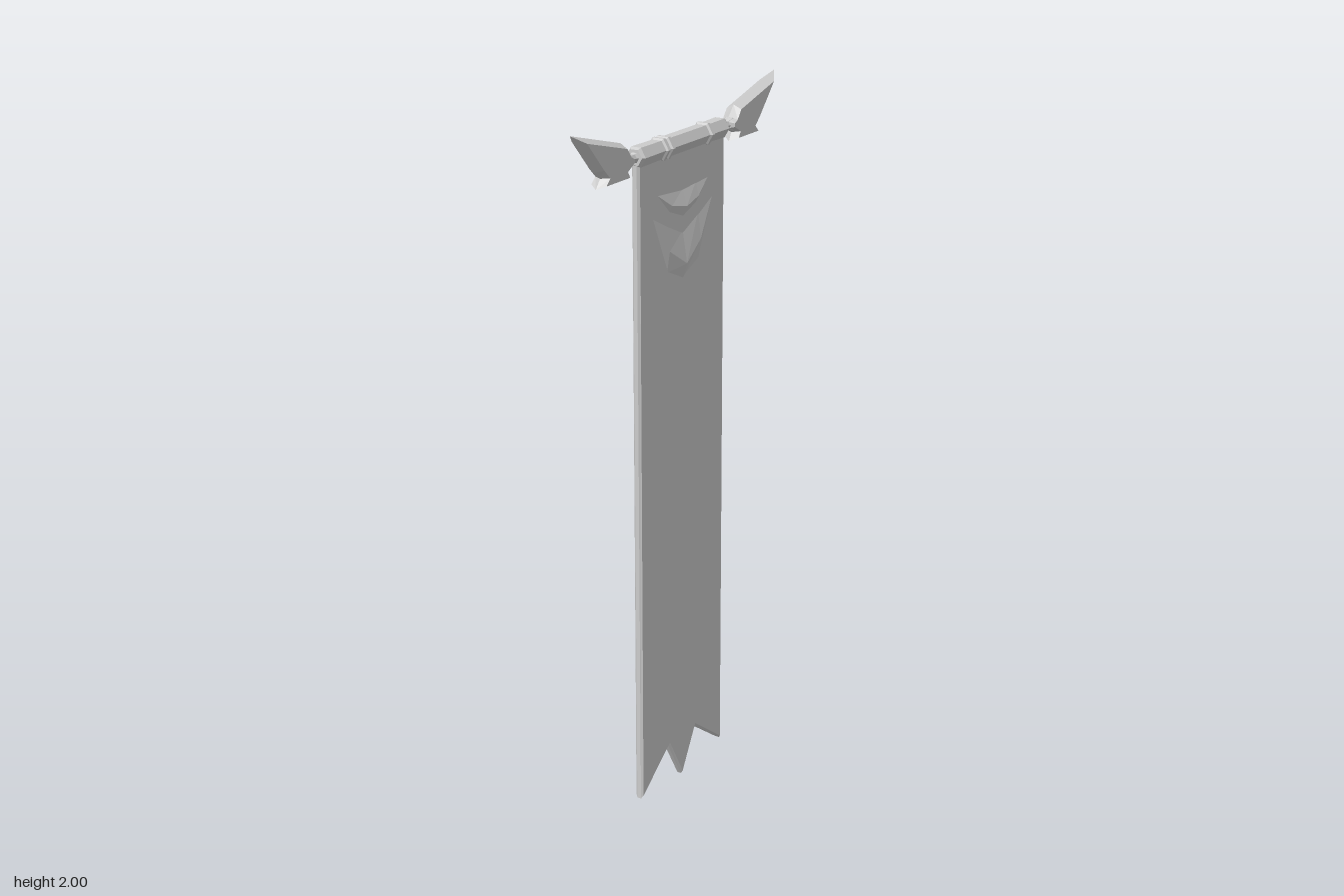
import * as THREE from 'three';

const POLE_Y = 1.89;
const material = new THREE.MeshStandardMaterial({ color: 0xcccccc, flatShading: true });

function addMesh(parent, name, geometry) {
  const mesh = new THREE.Mesh(geometry, material);
  mesh.name = name;
  parent.add(mesh);
  return mesh;
}

// Six-sided turned part lying along z; profile is [radius, z] pairs with rising z.
function turned(profile) {
  const points = profile.map(([r, z]) => new THREE.Vector2(r, z));
  return new THREE.LatheGeometry(points, 6, Math.PI / 6).rotateX(Math.PI / 2).translate(0, POLE_Y, 0);
}

// Triangles given for the -x side, repeated with reversed winding on +x.
function mirroredShell(triangles) {
  const positions = [];
  for (const [a, b, c] of triangles) {
    for (const p of [a, b, c]) positions.push(-p[0], p[1], p[2]);
    for (const p of [a, c, b]) positions.push(p[0], p[1], p[2]);
  }
  const geometry = new THREE.BufferGeometry();
  geometry.setAttribute('position', new THREE.Float32BufferAttribute(positions, 3));
  geometry.computeVertexNormals();
  return geometry;
}

// Flat blade with a sharp rim and broad bevels; loops are [z, y] pairs.
function bladeGeometry() {
  const rim = [[0.513, 2], [0.286, 1.94], [0.26, 1.91], [0.245, 1.9], [0.245, 1.88],
    [0.275, 1.865], [0.262, 1.842], [0.402, 1.842], [0.382, 1.867], [0.41, 1.888]];
  const face = [[0.472, 1.976], [0.289, 1.928], [0.27, 1.903], [0.255, 1.895], [0.255, 1.885],
    [0.287, 1.868], [0.277, 1.851], [0.387, 1.851], [0.369, 1.868], [0.396, 1.893]];
  const outer = rim.map(([z, y]) => [0, y, z]);
  const inner = face.map(([z, y]) => [0.023, y, z]);
  const triangles = [];
  outer.forEach((o, i) => {
    const j = (i + 1) % outer.length;
    triangles.push([o, outer[j], inner[j]], [o, inner[j], inner[i]]);
  });
  const contour = face.map(([z, y]) => new THREE.Vector2(z, y));
  for (const t of THREE.ShapeUtils.triangulateShape(contour, [])) {
    triangles.push(t.map((i) => inner[i]));
  }
  return mirroredShell(triangles);
}

// Sagging cloth fold: upper, ridge and lower heights at the centre and halfway, meeting at the tips.
function foldGeometry(halfWidth, tipY, centre, halfway, bulge) {
  const columns = [-1, -0.5, 0, 0.5, 1].map((t) => {
    const heights = t === 0 ? centre : Math.abs(t) === 1 ? [tipY, tipY, tipY] : halfway;
    const ridge = 0.011 + bulge * (1 - Math.abs(t) ** 1.5);
    return heights.map((y, row) => [row === 1 ? ridge : 0.011, y, t * halfWidth]);
  });
  const triangles = [];
  for (let i = 0; i < 4; i++) {
    for (let row = 0; row < 2; row++) {
      const a = columns[i][row], b = columns[i][row + 1];
      const d = columns[i + 1][row], c = columns[i + 1][row + 1];
      triangles.push([a, b, c], [a, c, d]);
    }
  }
  return mirroredShell(triangles);
}

export function createModel() {
  const model = new THREE.Group();
  model.name = 'hangingBanner';

  // Cloth with a swallow-tailed lower edge and a bevelled hem
  const outline = [[-0.22, 1.88], [-0.22, 0.02], [-0.073, 0.125], [0, 0], [0.073, 0.125], [0.22, 0.02], [0.22, 1.88]];
  const shape = new THREE.Shape(outline.map(([z, y]) => new THREE.Vector2(z, y)));
  const cloth = new THREE.ExtrudeGeometry(shape, {
    depth: 0.012, bevelThickness: 0.006, bevelSize: 0.007, bevelOffset: -0.007, bevelSegments: 1,
  });
  addMesh(model, 'cloth', cloth.translate(0, 0, -0.006).rotateY(-Math.PI / 2));

  // Two sagging folds, on both faces of the cloth
  addMesh(model, 'upperFold', foldGeometry(0.135, 1.775, [1.765, 1.718, 1.688], [1.77, 1.732, 1.712], 0.014));
  addMesh(model, 'lowerFold', foldGeometry(0.16, 1.725, [1.65, 1.56, 1.515], [1.685, 1.61, 1.55], 0.014));

  // Crossbar with chamfered ends
  addMesh(model, 'crossbar', turned([
    [0, -0.222], [0.024, -0.222], [0.03, -0.213], [0.0285, -0.125],
    [0.0285, 0.1], [0.03, 0.213], [0.024, 0.222], [0, 0.222],
  ]));

  // Raised bands around the crossbar
  for (const z of [-0.124, 0.078, 0.102]) {
    addMesh(model, 'crossbarBand', turned([
      [0.028, z - 0.01], [0.034, z - 0.005], [0.034, z + 0.005], [0.028, z + 0.01],
    ]));
  }

  // A neck and winged blade at each end
  for (const side of [1, -1]) {
    const finial = new THREE.Group();
    finial.name = side > 0 ? 'frontFinial' : 'backFinial';
    addMesh(finial, 'neck', turned([
      [0.017, 0.218], [0.012, 0.228], [0.012, 0.248], [0.021, 0.264], [0.023, 0.275], [0, 0.29],
    ]));
    addMesh(finial, 'blade', bladeGeometry());
    if (side < 0) finial.rotation.y = Math.PI;
    model.add(finial);
  }
  return model;
}
